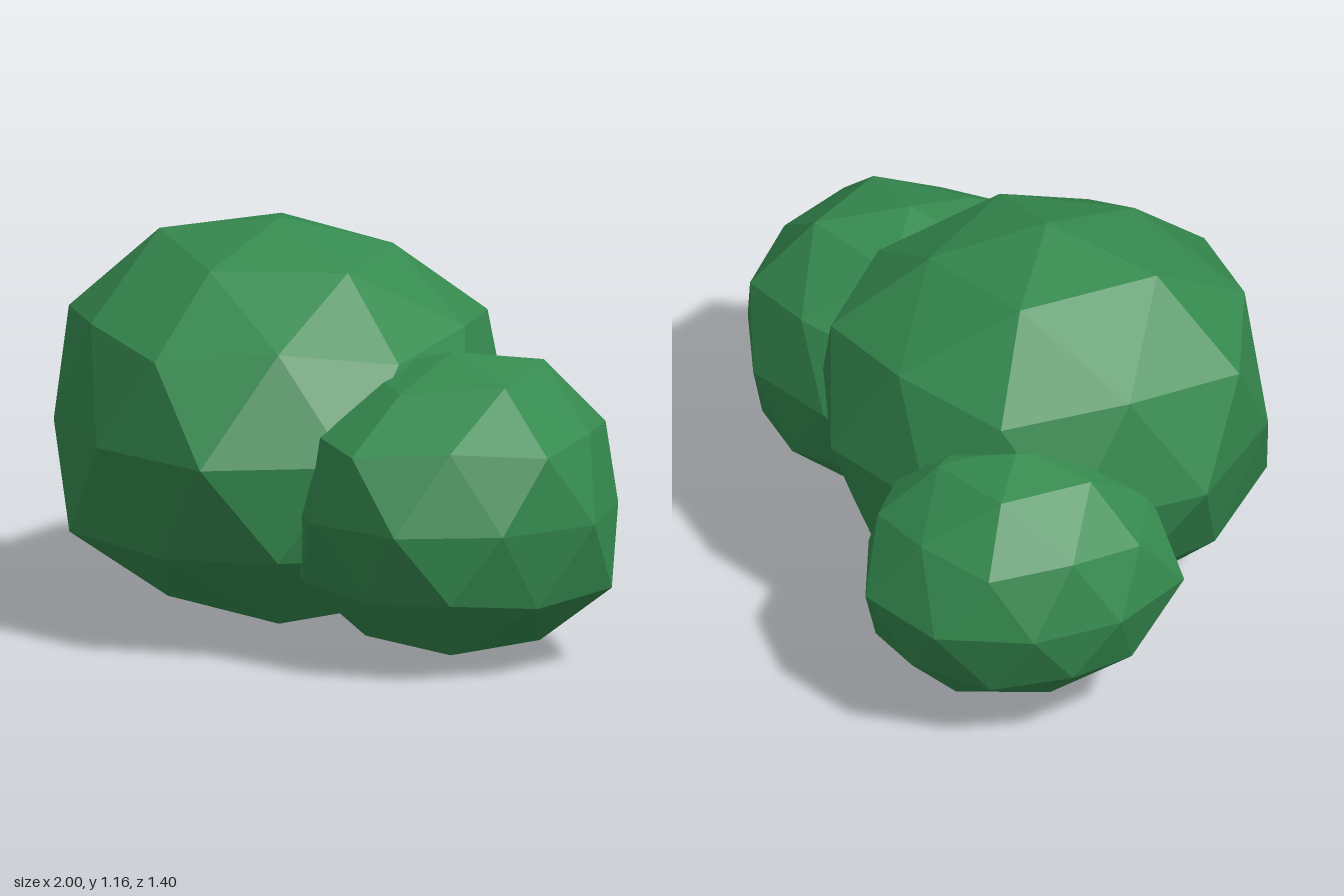
import * as THREE from 'three';

const leaf = new THREE.MeshStandardMaterial({ color: 0x358a4f, flatShading: true });
leaf.name = 'leaf green';

// Vertex rings of a once-divided icosahedron: height and first angle (degrees)
const RINGS = {
  top: [1, 0], crown: [0.851, 0], shoulderMid: [0.526, 36], shoulder: [0.447, 0],
  waist: [0, 18],
  hip: [-0.447, 36], hipMid: [-0.526, 0], foot: [-0.851, 36], bottom: [-1, 0],
};

// A faceted ball; bumps gives radial factors per ring, by angle from +x towards +z
function foliage(name, center, radius, height, bumps) {
  const geo = new THREE.IcosahedronGeometry(1, 1);
  geo.rotateX(-Math.atan2(0.8507, 0.5257)); // stand on a corner
  geo.rotateY(Math.PI / 2);
  const pos = geo.attributes.position;
  const v = new THREE.Vector3();
  for (let i = 0; i < pos.count; i++) {
    v.fromBufferAttribute(pos, i);
    const ring = Object.keys(RINGS).find((k) => Math.abs(RINGS[k][0] - v.y) < 0.03);
    const list = bumps[ring];
    if (list) {
      const step = 360 / list.length;
      const angle = THREE.MathUtils.radToDeg(Math.atan2(v.z, v.x)) - RINGS[ring][1];
      const k = Math.round(angle / step + 2 * list.length) % list.length;
      v.multiplyScalar(list[k]);
    }
    pos.setXYZ(i, v.x * radius, v.y * height, v.z * radius);
  }
  geo.computeVertexNormals();
  const mesh = new THREE.Mesh(geo, leaf);
  mesh.name = name;
  mesh.position.set(...center);
  return mesh;
}

export function createModel() {
  const bush = new THREE.Group();
  bush.name = 'bush';
  bush.add(
    foliage('mainFoliage', [-0.1, 0.58, 0.07], 0.64, 0.58, {
      crown: [0.97, 0.98, 1.06, 1.04, 0.98],
      shoulderMid: [1, 1.02, 1.06, 1.02, 1],
      shoulder: [1, 1.03, 1.09, 1.05, 1.06],
      waist: [1.02, 1.1, 0.985, 0.99, 1.05, 1.04, 1.03, 1.03, 1, 1.02],
      hip: [1.07, 1.08, 1, 1.07, 1.06],
      foot: [1.03, 0.98, 1, 1, 1.02],
    }),
    foliage('leftFoliage', [0.53, 0.44, -0.07], 0.48, 0.43, {
      crown: [1.02, 0.96, 1, 1, 1.07],
      shoulder: [1.08, 1.09, 1, 1, 1.05],
      waist: [1, 1.05, 1, 1, 1, 1, 1, 1, 0.97, 1.04],
      hip: [1.04, 1.02, 1, 1.03, 1.1],
      hipMid: [1.02, 0.98, 1, 1, 1.02],
      foot: [1.04, 1, 1, 1, 1.03],
    }),
    foliage('rightFoliage', [-0.59, 0.41, -0.23], 0.43, 0.385, {
      crown: [1, 1, 1.03, 1.03, 1],
      shoulderMid: [1, 1, 1.03, 1, 1],
      shoulder: [1, 1, 1.02, 1.03, 1.03],
      waist: [1, 1, 1, 1.1, 1, 1, 1.09, 1.09, 1, 1],
      hip: [1, 1, 0.98, 1.04, 1],
      hipMid: [1, 1, 1, 1, 1.1],
      foot: [1, 1, 0.96, 1.04, 1],
      bottom: [0.93],
    }),
  );
  return bush;
}
